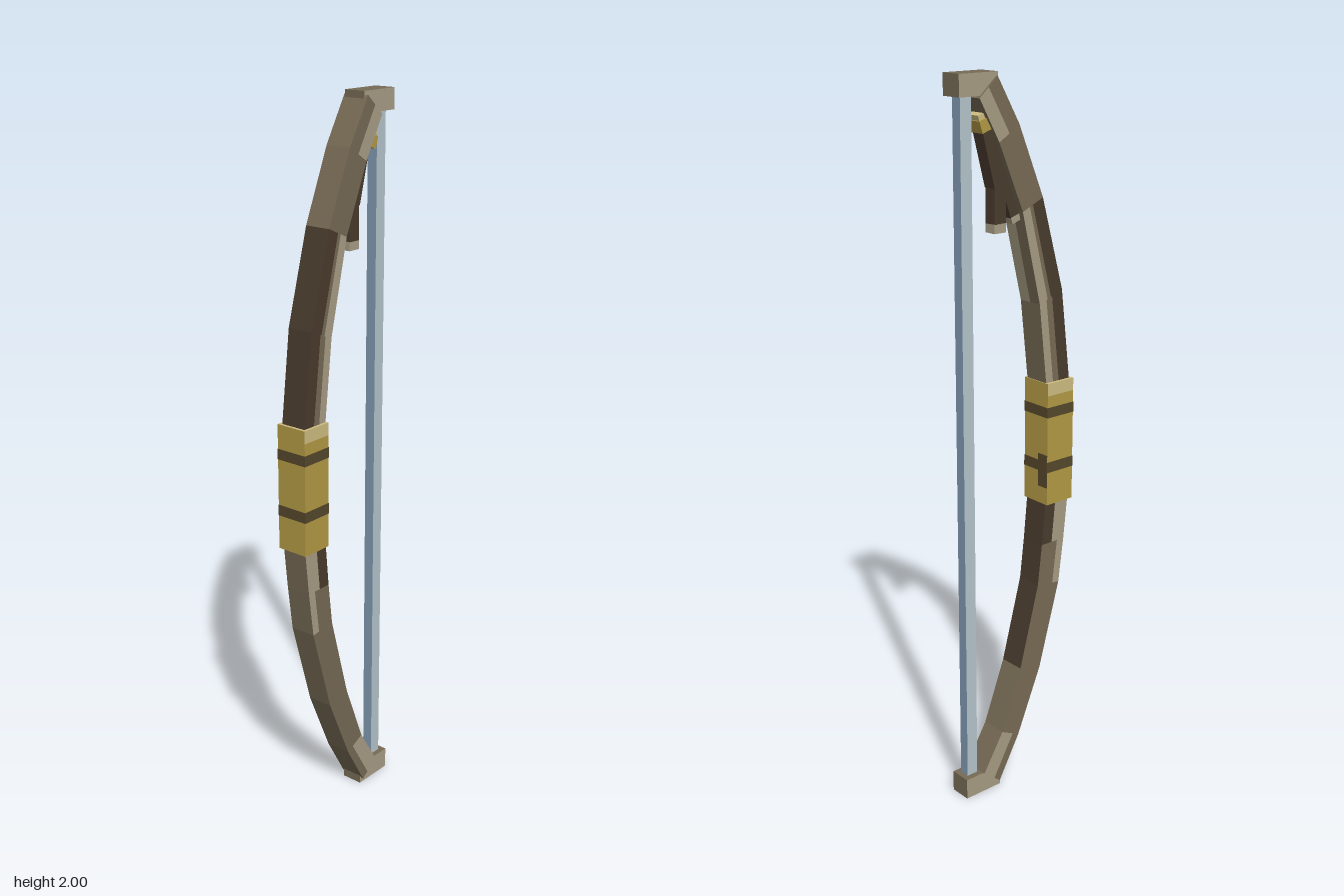
import * as THREE from 'three';

const paint = (name, color) => Object.assign(new THREE.MeshStandardMaterial({ color }), { name });

export function createModel() {
  const light = paint('pale wood', 0xa79c84);
  const mid = paint('brown wood', 0x766a54);
  const dark = paint('dark wood', 0x493b2d);
  const gold = paint('gold', 0xb39a45);
  const paleGold = paint('pale gold', 0xcdbc80);
  const band = paint('dark band', 0x55472a);
  const stringPale = paint('pale string', 0xb4c4ca);
  const stringBlue = paint('blue string', 0x829bb3);

  const model = new THREE.Group();
  model.name = 'bow';

  const makeGroup = (name) => {
    const g = new THREE.Group();
    g.name = name;
    model.add(g);
    return g;
  };

  // Box given by its limits on each axis
  const box = (parent, name, [x0, x1], [y0, y1], [z0, z1], mat) => {
    const m = new THREE.Mesh(new THREE.BoxGeometry(x1 - x0, y1 - y0, z1 - z0), mat);
    m.position.set((x0 + x1) / 2, (y0 + y1) / 2, (z0 + z1) / 2);
    m.name = name;
    parent.add(m);
    return m;
  };

  // Flat four-cornered panel, corners counter-clockwise from outside
  const panel = (parent, name, corners, mat) => {
    const g = new THREE.BufferGeometry();
    g.setAttribute('position', new THREE.Float32BufferAttribute(corners.flat(), 3));
    g.setIndex([0, 1, 2, 0, 2, 3]);
    const flat = g.toNonIndexed();
    flat.computeVertexNormals();
    const m = new THREE.Mesh(flat, mat);
    m.name = name;
    parent.add(m);
  };

  // Limb: cross rows [outer x, outer y, inner x, inner y] from bottom to top.
  // Each section: strips [from, to, colour] across its sides, outer colour,
  // and inner colours for the front and back halves.
  const D = 0.038;
  const buildLimb = (name, rows, sections) => {
    const g = makeGroup(name);
    const at = (r, t, z) => [r[0] + (r[2] - r[0]) * t, r[1] + (r[3] - r[1]) * t, z];
    sections.forEach(({ strips, outer, inner }, i) => {
      const a = rows[i], b = rows[i + 1];
      for (const [s, e, mat] of strips) {
        panel(g, 'limbFront', [at(a, s, D), at(a, e, D), at(b, e, D), at(b, s, D)], mat);
        panel(g, 'limbBack', [at(a, e, -D), at(a, s, -D), at(b, s, -D), at(b, e, -D)], mat);
      }
      panel(g, 'limbOuter', [at(a, 0, -D), at(a, 0, D), at(b, 0, D), at(b, 0, -D)], outer);
      inner.forEach((mat, k) => {
        const z0 = k ? 0 : D, z1 = k ? -D : 0;
        panel(g, 'limbInner', [at(a, 1, z0), at(a, 1, z1), at(b, 1, z1), at(b, 1, z0)], mat);
      });
    });
    const a = rows[0], b = rows[rows.length - 1];
    panel(g, 'limbBottom', [at(a, 0, -D), at(a, 1, -D), at(a, 1, D), at(a, 0, D)], mid);
    panel(g, 'limbTop', [at(b, 0, D), at(b, 1, D), at(b, 1, -D), at(b, 0, -D)], mid);
  };

  buildLimb('upperLimb', [
    [-0.183, 1.15, -0.1, 1.15], [-0.15, 1.43, -0.072, 1.4], [-0.08, 1.68, -0.012, 1.65],
    [0.0, 1.87, 0.065, 1.83], [0.07, 1.99, 0.127, 1.94],
  ], [
    { strips: [[0, 0.45, dark], [0.45, 0.7, mid], [0.7, 1, light]], outer: dark, inner: [mid, mid] },
    { strips: [[0, 0.5, dark], [0.5, 0.65, mid], [0.65, 1, light]], outer: dark, inner: [light, mid] },
    { strips: [[0, 1, mid]], outer: mid, inner: [light, mid] },
    { strips: [[0, 0.5, mid], [0.5, 1, light]], outer: mid, inner: [mid, mid] },
  ]);

  buildLimb('lowerLimb', [
    [0.07, 0.015, 0.127, 0.06], [0.0, 0.14, 0.06, 0.17], [-0.08, 0.33, -0.008, 0.35],
    [-0.15, 0.58, -0.072, 0.59], [-0.167, 0.71, -0.086, 0.71], [-0.183, 0.86, -0.1, 0.86],
  ], [
    { strips: [[0, 0.35, mid], [0.35, 1, light]], outer: mid, inner: [mid, mid] },
    { strips: [[0, 1, mid]], outer: mid, inner: [mid, mid] },
    { strips: [[0, 1, mid]], outer: mid, inner: [dark, dark] },
    { strips: [[0, 0.3, light], [0.3, 1, mid]], outer: mid, inner: [dark, dark] },
    { strips: [[0, 0.55, light], [0.55, 1, dark]], outer: mid, inner: [dark, dark] },
  ]);

  // Tip blocks holding the string: pale sides, brown ends
  const tips = makeGroup('tips');
  const tipMats = [mid, mid, mid, mid, light, light];
  box(tips, 'topTip', [0.065, 0.186], [1.945, 2], [-0.032, 0.03], tipMats);
  box(tips, 'bottomTip', [0.065, 0.186], [0, 0.06], [-0.032, 0.03], tipMats);

  // String
  box(model, 'string', [0.135, 0.17], [0.05, 1.95], [-0.015, 0.015],
    [stringBlue, stringBlue, stringPale, stringPale, stringPale, stringPale]);

  // Grip wrap with a pale upper edge
  const grip = makeGroup('grip');
  const gx = [-0.188, -0.095], gz = [-0.047, 0.046];
  box(grip, 'gripWrap', gx, [0.83, 1.145], gz, gold);
  box(grip, 'gripUpperEdge', gx, [1.145, 1.18], gz, [gold, gold, paleGold, gold, paleGold, paleGold]);

  // Dark bands around the grip
  const around = 0.001;
  for (const [y0, y1] of [[0.925, 0.955], [1.083, 1.112]]) {
    box(grip, 'gripBand', [gx[0] - around, gx[1] + around], [y0, y1],
      [gz[0] - around, gz[1] + around], band);
  }
  box(grip, 'gripPatch', [gx[1], gx[1] + 0.002], [0.88, 0.975], [gz[0], -0.012], band);

  // Hanging strap: gold clasp, slanted arm and two tails
  const charm = makeGroup('strap');
  const bar = (name, [x0, y0], [x1, y1], width, [z0, z1], mat) => {
    const len = Math.hypot(x1 - x0, y1 - y0);
    const m = box(charm, name, [-width / 2, width / 2], [-len / 2, len / 2], [z0, z1], mat);
    m.position.x = (x0 + x1) / 2;
    m.position.y = (y0 + y1) / 2;
    m.rotation.z = -Math.atan2(x1 - x0, y1 - y0);
  };
  bar('clasp', [0.088, 1.862], [0.098, 1.892], 0.05, [-0.03, 0.03], gold);
  bar('claspTop', [0.097, 1.89], [0.102, 1.905], 0.045, [-0.026, 0.026], paleGold);
  bar('strapArm', [0.052, 1.72], [0.092, 1.87], 0.04, [-0.027, 0.012], dark);
  bar('longTail', [0.052, 1.625], [0.052, 1.74], 0.038, [-0.025, 0.01], dark);
  bar('longTailEnd', [0.052, 1.602], [0.052, 1.626], 0.038, [-0.025, 0.01], light);
  bar('shortTail', [0.0, 1.64], [0.045, 1.76], 0.03, [-0.022, 0.012], dark);
  bar('shortTailEnd', [-0.006, 1.624], [0.0, 1.641], 0.03, [-0.022, 0.012], light);

  return model;
}
